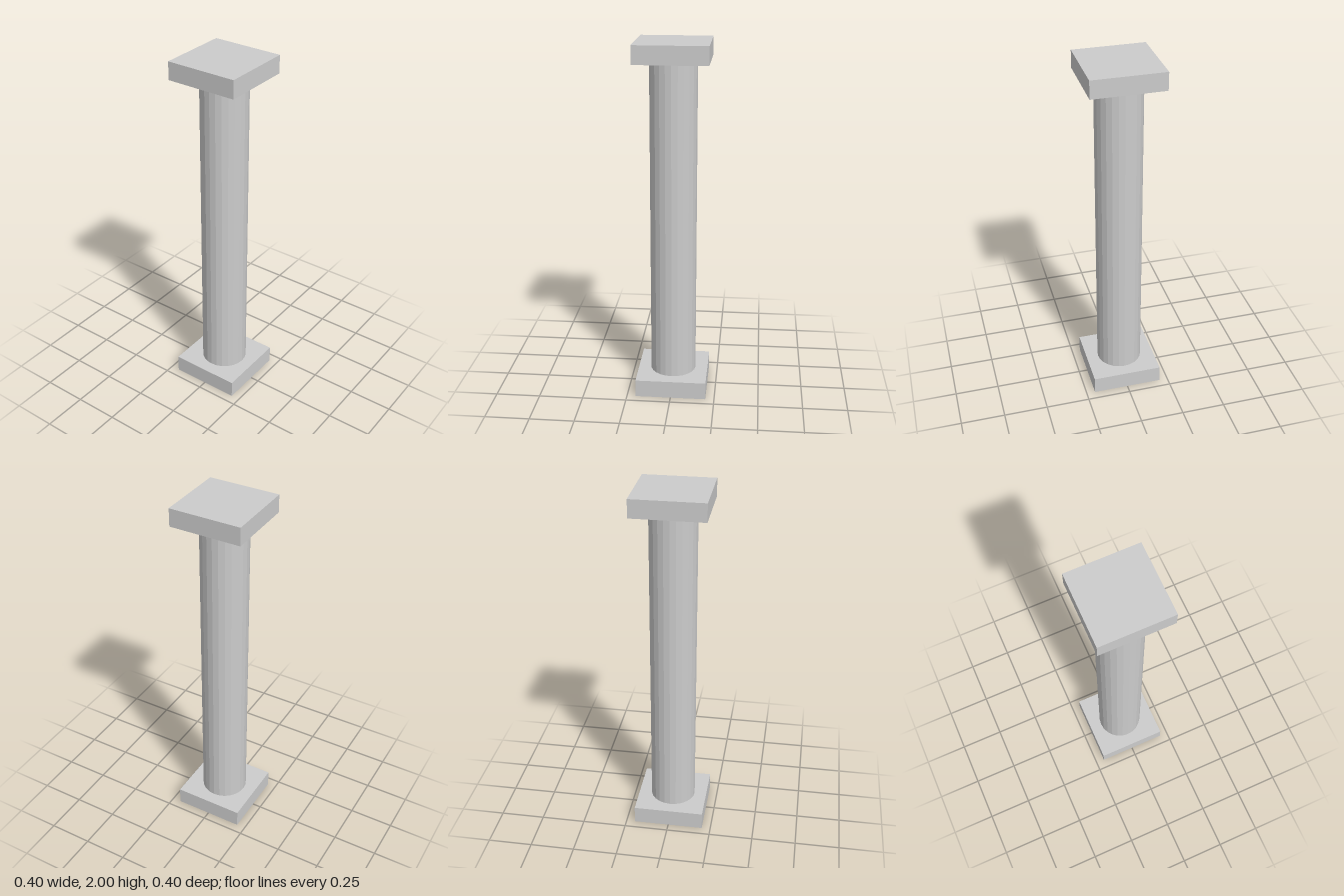
import * as THREE from 'three';

export function createModel() {
  const group = new THREE.Group();
  group.name = 'column';

  const stone = new THREE.MeshStandardMaterial({ color: 0xcccccc, flatShading: true });
  stone.name = 'light grey stone';

  const add = (name, geometry, y) => {
    const mesh = new THREE.Mesh(geometry, stone);
    mesh.name = name;
    mesh.position.y = y;
    group.add(mesh);
  };

  const height = 2, slabWidth = 0.4, slabHeight = 0.1, radius = 0.13;

  // Square slabs at the foot and the head
  const slab = new THREE.BoxGeometry(slabWidth, slabHeight, slabWidth);
  add('base', slab, slabHeight / 2);
  add('capital', slab, height - slabHeight / 2);

  // Faceted round shaft between the slabs
  const shaftHeight = height - 2 * slabHeight;
  add('shaft', new THREE.CylinderGeometry(radius, radius, shaftHeight, 24, 1, true), height / 2);

  return group;
}
